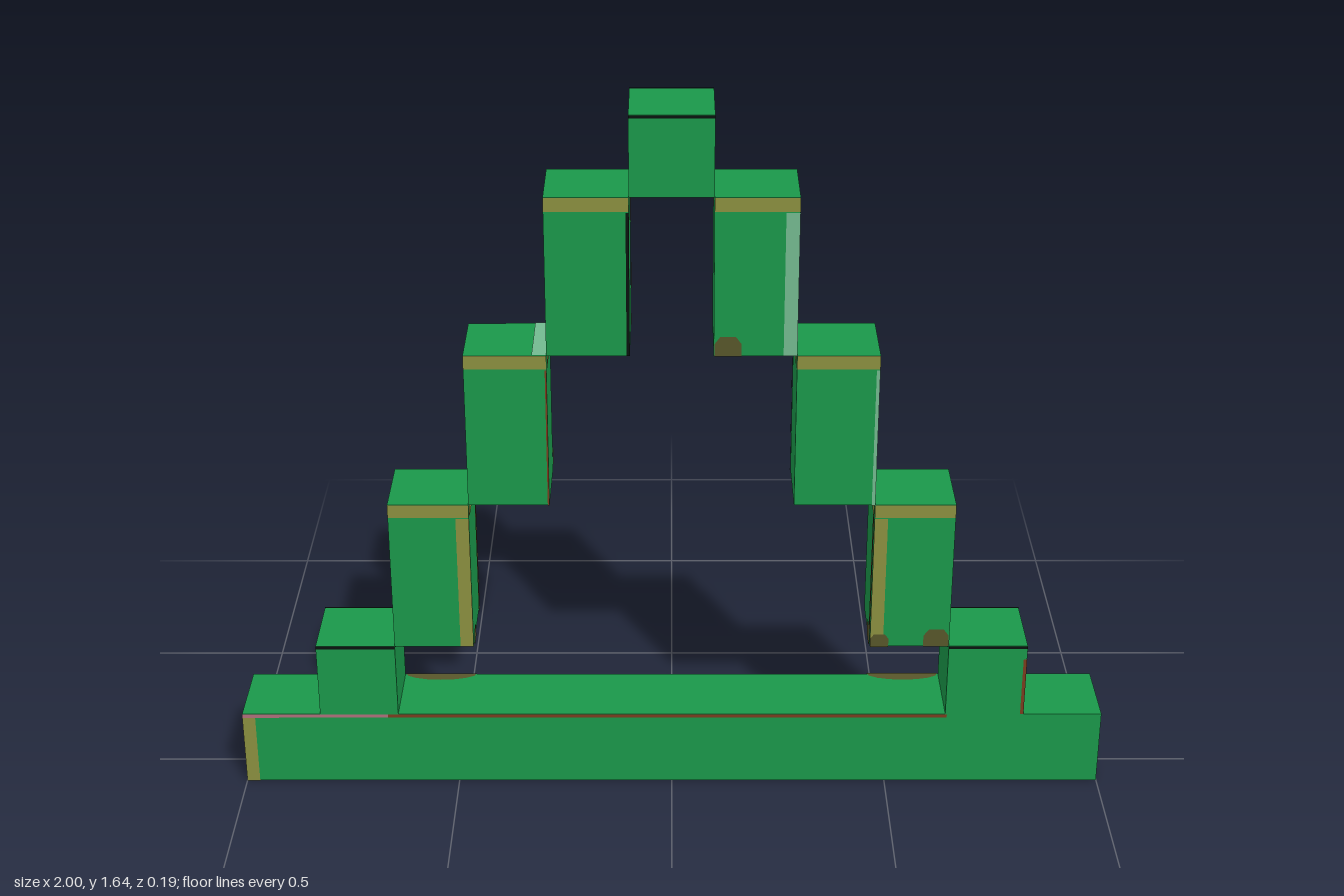
import * as THREE from 'three';

const U = 2 / 11; // side of one cube

const material = (name, color) => {
  const m = new THREE.MeshStandardMaterial({ color });
  m.name = name;
  return m;
};

export function createModel() {
  const green = material('green', 0x1a984a);
  const olive = material('olive', 0x8b9040);
  const pale = material('paleGreen', 0x74ba90);
  const brown = material('brown', 0x58562a);
  const rust = material('rust', 0x7c3c1e);
  const black = material('black', 0x0a120e);
  const pink = material('pink', 0xb0707c);

  const model = new THREE.Group();
  model.name = 'steppedArch';

  // A block given in cube units: centre x, bottom y, width, height
  function block(name, x, y, w, h) {
    const g = new THREE.Group();
    g.name = name;
    g.position.set(x * U, (y + h / 2) * U, 0);
    g.userData.size = [w * U, h * U, U];
    const body = new THREE.Mesh(new THREE.BoxGeometry(w * U, h * U, U), green);
    body.name = name + 'Body';
    g.add(body);
    model.add(g);
    return g;
  }

  // Turns a flat geometry, drawn from a face's lower left corner, onto that face
  const turn = { front: 0, right: Math.PI / 2, back: Math.PI, left: -Math.PI / 2 };
  function place(g, face, geo, mat, name) {
    const [w, h, d] = g.userData.size;
    const end = face === 'left' || face === 'right';
    const top = face === 'top';
    geo.translate(-(end ? d : w) / 2, -(top ? d : h) / 2, (top ? h : end ? w : d) / 2 + 0.0015);
    if (top) geo.rotateX(-Math.PI / 2);
    else geo.rotateY(turn[face]);
    const m = new THREE.Mesh(geo, mat);
    m.name = name;
    g.add(m);
  }
  const strip = (g, face, u0, u1, v0, v1, mat) => place(g, face,
    new THREE.PlaneGeometry(u1 - u0, v1 - v0).translate((u0 + u1) / 2, (v0 + v1) / 2, 0), mat, 'edgeStrip');

  // Vertical strip against the left or right edge of a face, below the top band
  function edge(g, face, side, width, mat, gap = 0.034) {
    const [w, h, d] = g.userData.size;
    const full = face === 'left' || face === 'right' ? d : w;
    const a = side === 'L' ? 0 : full - width;
    strip(g, face, a, a + width, 0, h - gap, mat);
  }

  // Band under the top edge on all four sides
  function band(g, height, mat) {
    const [w, h, d] = g.userData.size;
    for (const f of Object.keys(turn)) {
      strip(g, f, 0, f === 'left' || f === 'right' ? d : w, h - height, h, mat);
    }
  }

  // Blunt stain rising from the bottom edge, just above any edge strip
  function stain(g, face, u, r) {
    const s = new THREE.Shape([[-r, 0], [r, 0], [r, r], [r * 0.6, r * 1.55], [-r * 0.6, r * 1.55], [-r, r]]
      .map(([x, y]) => new THREE.Vector2(x, y)));
    place(g, face, new THREE.ShapeGeometry(s).translate(u, 0, 0.001), brown, 'stain');
  }

  // Base bar
  const base = block('base', 0, 0, 11, 1);
  strip(base, 'front', 0, 0.03, 0, U - 0.009, olive);
  strip(base, 'front', 0, 0.34, U - 0.009, U, pink);
  strip(base, 'front', 0.34, 1.64, U - 0.009, U, rust);
  strip(base, 'back', 0.3, 0.73, U - 0.008, U, rust);
  strip(base, 'back', 0.73, 2, U - 0.009, U, pink);
  edge(base, 'right', 'R', 0.01, rust, 0.008);
  strip(base, 'right', 0, U, U - 0.007, U, black);

  // Flat stains on the base along its back edge
  for (const x of [-0.55, 0.55]) {
    const geo = new THREE.CircleGeometry(0.085, 8, Math.PI, Math.PI).scale(1, 0.35, 1).translate(x + 1, U, 0);
    place(base, 'top', geo, brown, 'baseStain');
  }

  // Stepped legs: a cube at each foot, then three tall blocks a side
  const legs = {};
  for (const s of [-1, 1]) {
    const side = s > 0 ? 'left' : 'right';
    legs[4 * s] = block(side + 'FootBlock', 4 * s, 1, 1, 1);
    band(legs[4 * s], 0.007, black);
    for (let i = 3; i >= 1; i--) {
      legs[i * s] = block(side + 'LegBlock' + (4 - i), i * s, 8 - 2 * i, 1, 2);
      band(legs[i * s], 0.032, olive);
    }
  }

  // Top cube
  const cap = block('topBlock', 0, 8, 1, 1);
  band(cap, 0.007, black);
  edge(cap, 'left', 'R', 0.025, pale, 0.007);
  edge(cap, 'back', 'L', 0.014, pale, 0.007);

  // Dark line along the back of the cube tops
  for (const g of [cap, legs[-4], legs[4]]) strip(g, 'top', 0, U, U - 0.006, U, black);

  // Painted edges: block, face, side, width, colour
  const edges = [
    [-4, 'back', 'R', 0.015, pale], [4, 'back', 'L', 0.03, pale], [4, 'front', 'R', 0.008, rust],
    [-3, 'front', 'R', 0.03, olive], [3, 'front', 'L', 0.03, olive],
    [-3, 'right', 'R', 0.03, brown], [-3, 'back', 'L', 0.022, olive],
    [-3, 'back', 'R', 0.012, brown], [-3, 'left', 'L', 0.015, black], [-3, 'left', 'R', 0.01, rust],
    [3, 'right', 'L', 0.01, olive], [3, 'back', 'R', 0.028, pale], [3, 'left', 'R', 0.028, brown],
    [-2, 'front', 'R', 0.004, rust], [2, 'front', 'R', 0.008, pale], [2, 'right', 'R', 0.012, pale],
    [2, 'back', 'R', 0.02, brown], [2, 'left', 'L', 0.008, black], [-2, 'back', 'R', 0.006, pale],
    [-1, 'front', 'R', 0.007, black], [1, 'front', 'R', 0.03, pale], [1, 'right', 'L', 0.008, olive],
    [1, 'back', 'R', 0.028, pale], [-1, 'back', 'R', 0.012, rust], [-1, 'right', 'R', 0.026, brown],
  ];
  for (const [i, face, side, width, mat] of edges) edge(legs[i], face, side, width, mat);

  // Pale strip on one step, and a small patch at the foot of the same block
  strip(legs[-2], 'top', U - 0.032, U, 0, U, pale);
  strip(legs[-2], 'right', U - 0.025, U, 0.02, 0.065, olive);

  // Stains near the lower edges: block, face, centre, radius
  const stains = [
    [1, 'front', 0.031, 0.029], [3, 'front', 0.021, 0.021], [3, 'front', U - 0.031, 0.029],
    [1, 'back', U - 0.025, 0.025], [3, 'back', U - 0.025, 0.025], [3, 'left', U - 0.03, 0.03],
    [-3, 'back', 0.025, 0.025], [-3, 'back', U - 0.03, 0.028],
    [-3, 'left', U - 0.031, 0.025], [-3, 'right', 0.025, 0.025], [-1, 'right', U - 0.028, 0.028],
  ];
  for (const [i, face, u, r] of stains) stain(legs[i], face, u, r);

  return model;
}
